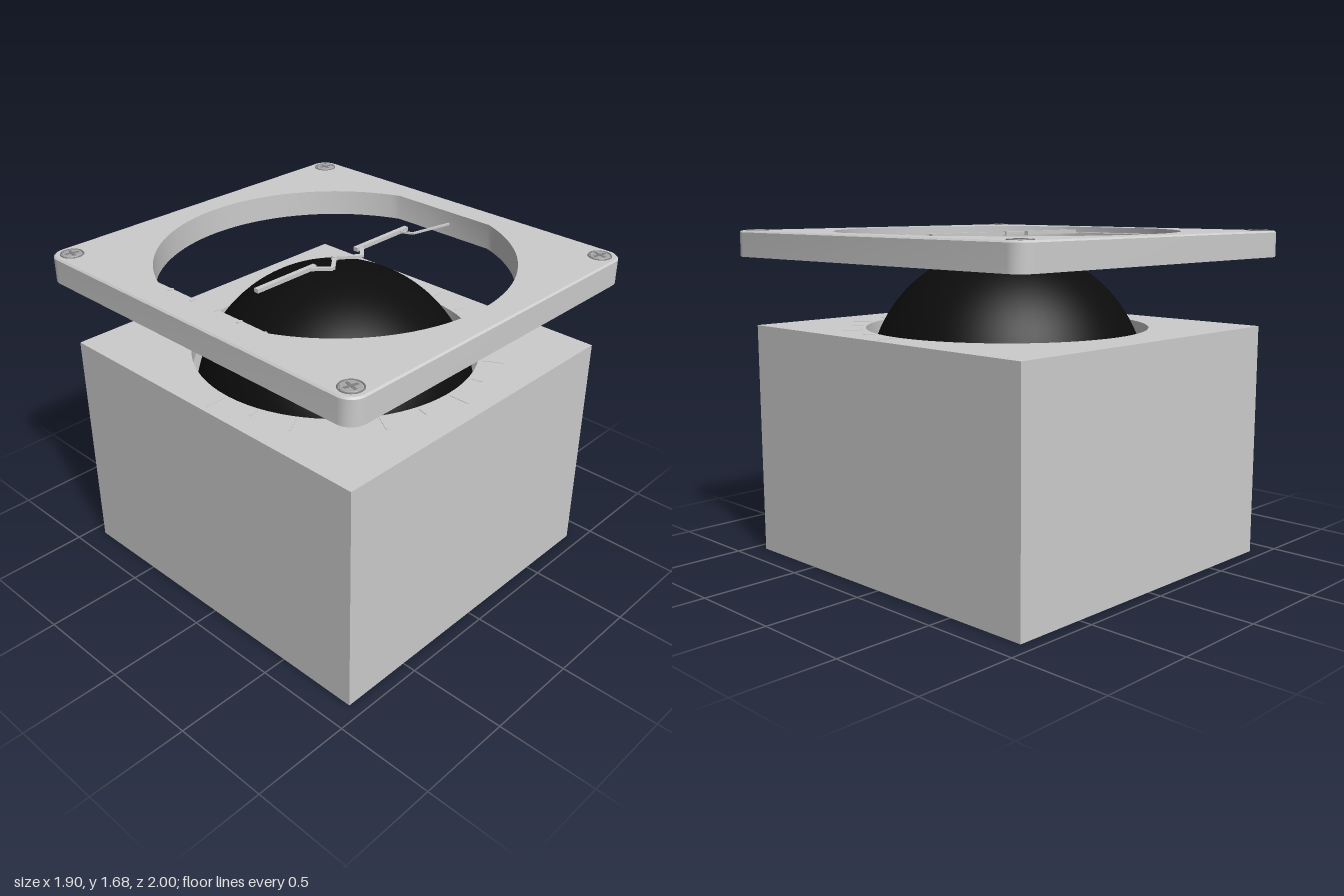
import * as THREE from 'three';
import { toCreasedNormals } from 'three/addons/utils/BufferGeometryUtils.js';

const grey = new THREE.MeshStandardMaterial({ color: 0xcccccc, side: THREE.DoubleSide });
grey.name = 'lightGrey';
const black = new THREE.MeshStandardMaterial({ color: 0x0c0c0c, side: THREE.DoubleSide });
black.name = 'black';
const steel = new THREE.MeshStandardMaterial({ color: 0xa8a8a8 });
steel.name = 'screwGrey';
const dark = new THREE.MeshStandardMaterial({ color: 0x808080 });
dark.name = 'slotGrey';

const BOX_TOP = 1.19, BEZEL_BOTTOM = 1.54, BEZEL_TOP = 1.67, SYMBOL_Y = 1.655;
const HOLE_R = 0.863, HOLE_X = 0.81;

function add(parent, name, geometry, material, x = 0, y = 0, z = 0) {
  const mesh = new THREE.Mesh(geometry, material);
  mesh.name = name;
  mesh.position.set(x, y, z);
  parent.add(mesh);
  return mesh;
}

// Horizontal sheet facing up, from outline points and optional hole points
function sheet(points, hole) {
  const shape = new THREE.Shape(points);
  if (hole) shape.holes.push(new THREE.Path(hole));
  return new THREE.ShapeGeometry(shape).rotateX(-Math.PI / 2);
}

// Closed wall joining matching outlines at different heights
function wall(levels) {
  const n = levels[0].points.length, pos = [], idx = [];
  for (const { points, y } of levels) for (const p of points) pos.push(p.x, y, -p.y);
  for (let l = 0; l < levels.length - 1; l++) {
    for (let i = 0; i < n; i++) {
      const a = l * n + i, b = l * n + (i + 1) % n;
      idx.push(a, b, b + n, a, b + n, a + n);
    }
  }
  const g = new THREE.BufferGeometry();
  g.setAttribute('position', new THREE.Float32BufferAttribute(pos, 3));
  g.setIndex(idx);
  return toCreasedNormals(g, 0.6);
}

function roundedRect(w, d, r) {
  const pts = [];
  for (let q = 0; q < 4; q++) {
    const sx = q === 0 || q === 3 ? 1 : -1, sy = q < 2 ? 1 : -1;
    for (let i = 0; i <= 8; i++) {
      const a = (q + i / 8) * Math.PI / 2;
      pts.push(new THREE.Vector2(sx * (w - r) + r * Math.cos(a), sy * (d - r) + r * Math.sin(a)));
    }
  }
  return pts;
}

// Circle flattened at both sides
function flattenedCircle(r, maxX) {
  const pts = [], a0 = Math.acos(maxX / r);
  for (const start of [a0, Math.PI + a0]) {
    for (let i = 0; i <= 40; i++) {
      const a = start + (Math.PI - 2 * a0) * i / 40;
      pts.push(new THREE.Vector2(r * Math.cos(a), r * Math.sin(a)));
    }
  }
  return pts;
}

// Thin bar between two x,z points
function bar(parent, name, [x1, z1], [x2, z2], width, height, y, material = grey) {
  const g = new THREE.BoxGeometry(Math.hypot(x2 - x1, z2 - z1), height, width);
  const m = add(parent, name, g, material, (x1 + x2) / 2, y, (z1 + z2) / 2);
  m.rotation.y = -Math.atan2(z2 - z1, x2 - x1);
  return m;
}

export function createModel() {
  const model = new THREE.Group();
  model.name = 'attitudeIndicator';

  // Housing: open below, round opening on top
  const housing = new THREE.Group();
  housing.name = 'housing';
  model.add(housing);
  const rect = [[-0.875, -0.93], [0.875, -0.93], [0.875, 0.93], [-0.875, 0.93]]
    .map(([x, y]) => new THREE.Vector2(x, y));
  const opening = flattenedCircle(0.715, 0.7149);
  add(housing, 'housingSides', wall([{ points: rect, y: 0 }, { points: rect, y: BOX_TOP }]), grey);
  add(housing, 'housingTop', sheet(rect, opening), grey, 0, BOX_TOP);
  add(housing, 'openingRim', wall([{ points: opening, y: BOX_TOP - 0.1 }, { points: opening, y: BOX_TOP }]), grey);

  // Roll marks around the opening
  const marks = new THREE.Group();
  marks.name = 'rollMarks';
  model.add(marks);
  for (let deg = 0; deg <= 180; deg += 15) {
    const a = deg * Math.PI / 180, c = Math.cos(a), s = Math.sin(a);
    const big = deg === 120;
    const r2 = deg % 30 ? 0.79 : 0.84;
    bar(marks, 'rollMark', [c * 0.735, s * 0.735], [c * r2, s * r2], big ? 0.02 : 0.008, 0.003, BOX_TOP + 0.001);
  }

  // Horizon ball: upper half sphere
  add(model, 'horizonBall', new THREE.SphereGeometry(0.71, 64, 32, 0, Math.PI * 2, 0, Math.PI / 2), black, 0, 0.883);
  add(model, 'ballBase', new THREE.CircleGeometry(0.71, 64).rotateX(Math.PI / 2), black, 0, 0.883);

  // Bezel: hollow plate with a softened top edge
  const bezel = new THREE.Group();
  bezel.name = 'bezel';
  model.add(bezel);
  const outer = roundedRect(0.95, 1, 0.08), inner = roundedRect(0.942, 0.992, 0.072);
  const hole = flattenedCircle(HOLE_R, HOLE_X);
  add(bezel, 'bezelSides', wall([
    { points: outer, y: BEZEL_BOTTOM },
    { points: outer, y: BEZEL_TOP - 0.008 },
    { points: inner, y: BEZEL_TOP },
  ]), grey);
  add(bezel, 'bezelFace', sheet(inner, hole), grey, 0, BEZEL_TOP);
  add(bezel, 'bezelHoleWall', wall([{ points: hole, y: BEZEL_BOTTOM }, { points: hole, y: BEZEL_TOP }]), grey);

  // Pitch scale at the side of the hole
  const scaleEdge = hole.filter((p) => p.x < -0.72);
  add(bezel, 'pitchScale', sheet(scaleEdge), grey, 0, 1.64);
  for (const z of [-0.31, -0.155, 0, 0.155, 0.31]) {
    const from = z === 0 ? -0.805 : -0.77;
    bar(bezel, 'pitchMark', [from, z], [-0.74, z], 0.012, 0.003, 1.6415);
  }

  // Corner screws with cross slots
  for (const x of [-0.865, 0.865]) {
    for (const z of [-0.915, 0.915]) {
      const screw = new THREE.Group();
      screw.name = 'screw';
      screw.position.set(x, BEZEL_TOP, z);
      bezel.add(screw);
      add(screw, 'screwHead', new THREE.CylinderGeometry(0.045, 0.05, 0.006, 24), steel, 0, 0.001);
      add(screw, 'screwRing', new THREE.TorusGeometry(0.054, 0.004, 6, 28).rotateX(Math.PI / 2), dark);
      for (const t of [0.25, 0.25 + Math.PI / 2]) {
        const c = 0.034 * Math.cos(t), s = 0.034 * Math.sin(t);
        bar(screw, 'screwSlot', [-c, -s], [c, s], 0.014, 0.003, 0.004, dark);
      }
    }
  }

  // Fixed aircraft symbol: two wings and a W in the middle
  const symbol = new THREE.Group();
  symbol.name = 'aircraftSymbol';
  model.add(symbol);
  for (const s of [-1, 1]) {
    bar(symbol, 'wing', [s * 0.14, 0], [s * 0.515, 0], 0.025, 0.02, SYMBOL_Y);
    bar(symbol, 'wingBrace', [s * 0.175, 0.008], [s * 0.1, 0.08], 0.02, 0.015, SYMBOL_Y);
    bar(symbol, 'centreBrace', [s * 0.1, 0.08], [0, -0.005], 0.02, 0.015, SYMBOL_Y);
  }
  add(symbol, 'centreDot', new THREE.BoxGeometry(0.035, 0.02, 0.025), grey, 0, SYMBOL_Y, 0);
  bar(symbol, 'supportWire', [0.46, 0.01], [0.485, 0.07], 0.01, 0.01, SYMBOL_Y);
  bar(symbol, 'supportWire', [0.485, 0.07], [0.71, 0.12], 0.01, 0.01, SYMBOL_Y);

  return model;
}
